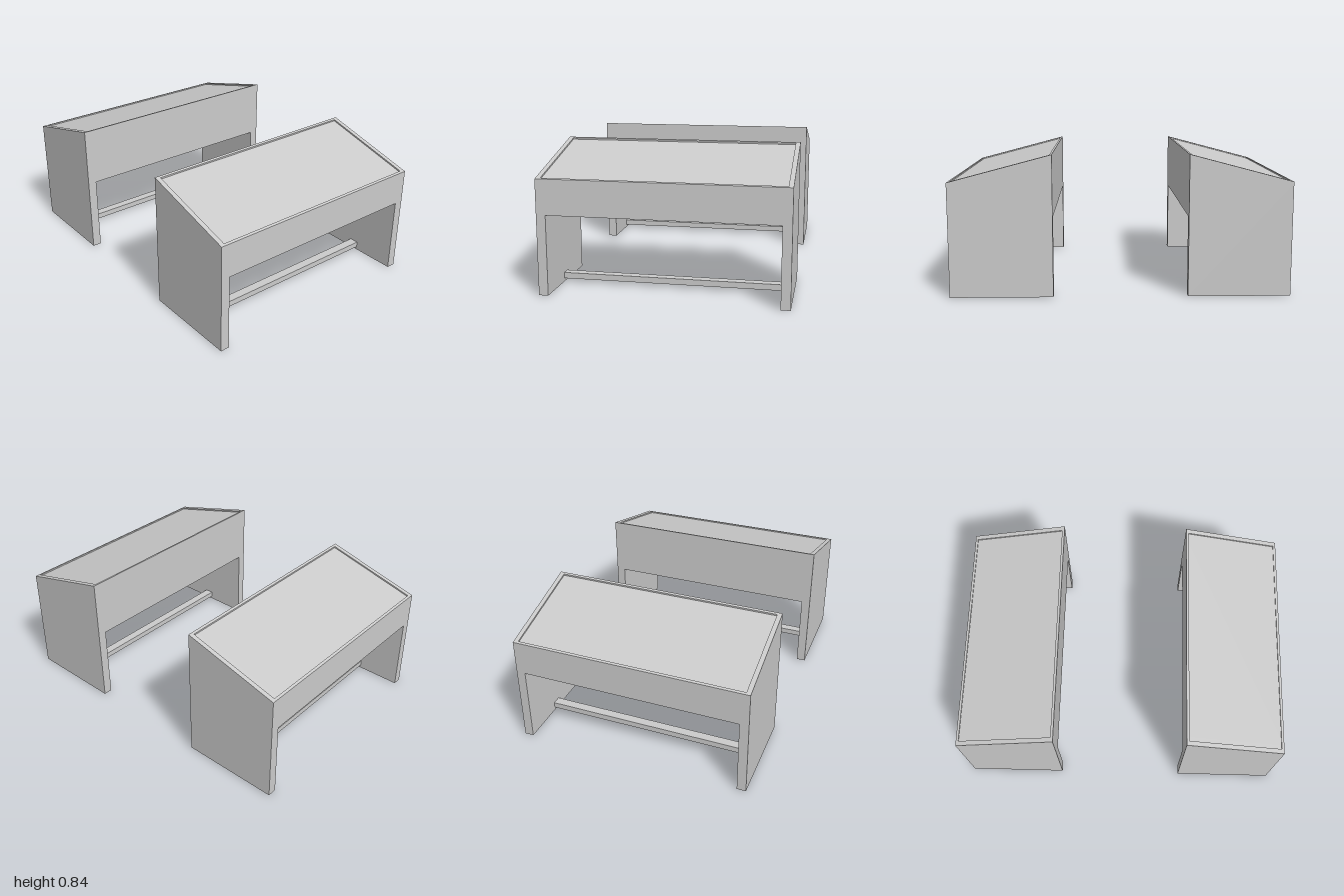
import * as THREE from 'three';

const material = new THREE.MeshStandardMaterial({ color: 0xcccccc });

// Desk measurements: u runs from the tall edge (0) to the low edge (W)
const W = 0.605, HALF = 0.717, TALL = 0.837, LOW = 0.677;
const PANEL = 0.055, APRON = 0.47, RECESS = 0.009;
const topAt = u => TALL + (LOW - TALL) * u / W;

// Sloped-top cross-section from a base height, extruded along z
function slopedSlab(name, base, z0, z1) {
  const shape = new THREE.Shape([
    new THREE.Vector2(0, base),
    new THREE.Vector2(W, base),
    new THREE.Vector2(W, LOW - RECESS),
    new THREE.Vector2(0, TALL - RECESS),
  ]);
  const geo = new THREE.ExtrudeGeometry(shape, { depth: z1 - z0, bevelEnabled: false });
  geo.translate(0, 0, z0);
  const mesh = new THREE.Mesh(geo, material);
  mesh.name = name;
  return mesh;
}

// Flat frame around the writing surface, sheared to follow the slope
function lidRim() {
  const shape = new THREE.Shape([
    new THREE.Vector2(0, -HALF), new THREE.Vector2(W, -HALF),
    new THREE.Vector2(W, HALF), new THREE.Vector2(0, HALF),
  ]);
  const a = 0.016, b = HALF - 0.028;
  shape.holes.push(new THREE.Path([
    new THREE.Vector2(a, -b), new THREE.Vector2(a, b),
    new THREE.Vector2(W - a, b), new THREE.Vector2(W - a, -b),
  ]));
  const geo = new THREE.ExtrudeGeometry(shape, { depth: RECESS, bevelEnabled: false });
  geo.rotateX(-Math.PI / 2);
  const p = geo.attributes.position;
  for (let i = 0; i < p.count; i++) p.setY(i, p.getY(i) - RECESS + topAt(p.getX(i)));
  geo.computeVertexNormals();
  const mesh = new THREE.Mesh(geo, material);
  mesh.name = 'lidRim';
  return mesh;
}

function createDesk(name) {
  const desk = new THREE.Group();
  desk.name = name;
  const inner = HALF - PANEL;

  // End panels and the closed box between them
  desk.add(slopedSlab('frontEndPanel', 0, inner, HALF));
  desk.add(slopedSlab('backEndPanel', 0, -HALF, -inner));
  desk.add(slopedSlab('deskBox', APRON, -inner, inner));
  desk.add(lidRim());

  // Foot rail joining the end panels
  const rail = new THREE.Mesh(new THREE.BoxGeometry(0.056, 0.036, inner * 2), material);
  rail.name = 'footRail';
  rail.position.set(W / 2, 0.037, 0);
  desk.add(rail);
  return desk;
}

export function createModel() {
  const model = new THREE.Group();
  model.name = 'pairOfDesks';

  // Two desks back to back, tall edges facing each other
  const left = createDesk('leftDesk');
  left.position.x = 1 - W;
  const right = createDesk('rightDesk');
  right.rotation.y = Math.PI;
  right.position.x = W - 1;
  model.add(left, right);
  return model;
}
